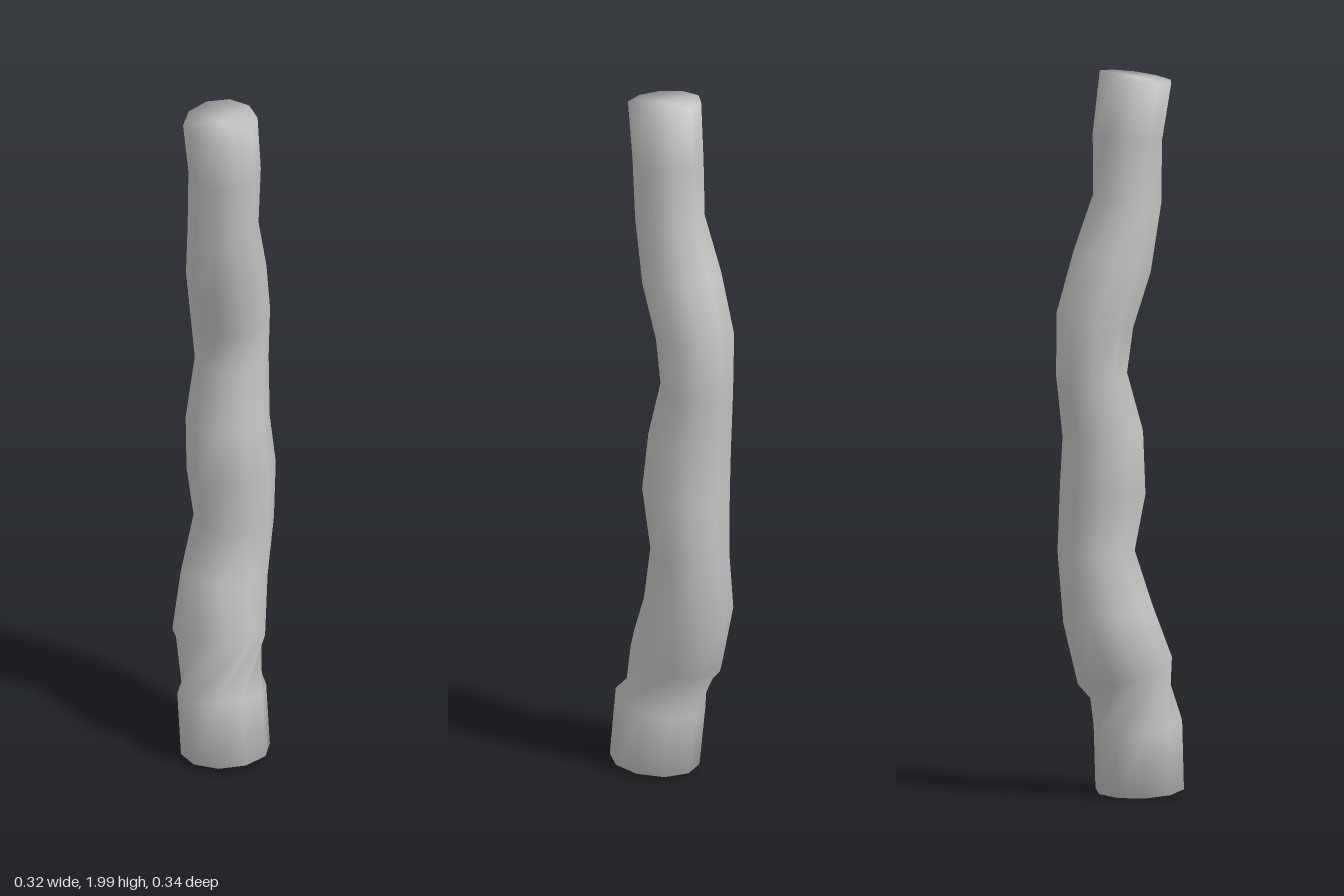
import * as THREE from 'three';

const SIDES = 10;

// Centre line stations: x, y, z, radius, twist in degrees
const STATIONS = [
  [-0.038, 0.017, 0.052, 0.123, 22],
  [-0.040, 0.20, 0.036, 0.123, 22],
  [-0.022, 0.35, -0.010, 0.129, -30],
  [0.015, 0.51, -0.042, 0.122, -18],
  [0.048, 0.68, -0.046, 0.110, -8],
  [0.033, 0.85, -0.035, 0.122, -8],
  [0.028, 1.00, -0.045, 0.115, -8],
  [0.053, 1.17, -0.065, 0.101, -8],
  [0.045, 1.32, -0.060, 0.109, -8],
  [0.010, 1.48, -0.023, 0.110, -8],
  [-0.020, 1.65, 0.010, 0.097, -8],
  [-0.018, 1.82, 0.015, 0.099, -8],
  [-0.038, 1.985, 0.025, 0.102, -8],
];

// Ten-sided loft whose rings lie square to the centre line, closed at both ends
function loft(stations) {
  const positions = [];
  const index = [];
  const last = stations.length - 1;

  stations.forEach(([x, y, z, r, twist], k) => {
    const a = stations[Math.max(k - 1, 0)];
    const b = stations[Math.min(k + 1, last)];
    const slopeX = (b[0] - a[0]) / (b[1] - a[1]);
    const slopeZ = (b[2] - a[2]) / (b[1] - a[1]);
    for (let i = 0; i < SIDES; i++) {
      const angle = (i / SIDES) * Math.PI * 2 + THREE.MathUtils.degToRad(twist);
      const dx = Math.cos(angle) * r;
      const dz = Math.sin(angle) * r;
      positions.push(x + dx, y - dx * slopeX - dz * slopeZ, z + dz);
    }
  });

  // End centres
  const bottom = positions.length / 3;
  const top = bottom + 1;
  positions.push(...stations[0].slice(0, 3), ...stations[last].slice(0, 3));

  for (let i = 0; i < SIDES; i++) {
    const j = (i + 1) % SIDES;
    for (let k = 0; k < last; k++) {
      const p = k * SIDES;
      const q = p + SIDES;
      index.push(p + i, q + i, p + j, p + j, q + i, q + j);
    }
    index.push(bottom, i, j);
    index.push(top, last * SIDES + j, last * SIDES + i);
  }

  const geometry = new THREE.BufferGeometry();
  geometry.setAttribute('position', new THREE.Float32BufferAttribute(positions, 3));
  geometry.setIndex(index);
  geometry.computeVertexNormals(); // soft shading runs over the end rims
  return geometry;
}

export function createModel() {
  const group = new THREE.Group();
  group.name = 'crookedPole';

  const paleGrey = new THREE.MeshStandardMaterial({ color: 0xc4c4c4 });
  paleGrey.name = 'pale grey';

  const stem = new THREE.Mesh(loft(STATIONS), paleGrey);
  stem.name = 'stem';
  group.add(stem);
  return group;
}
